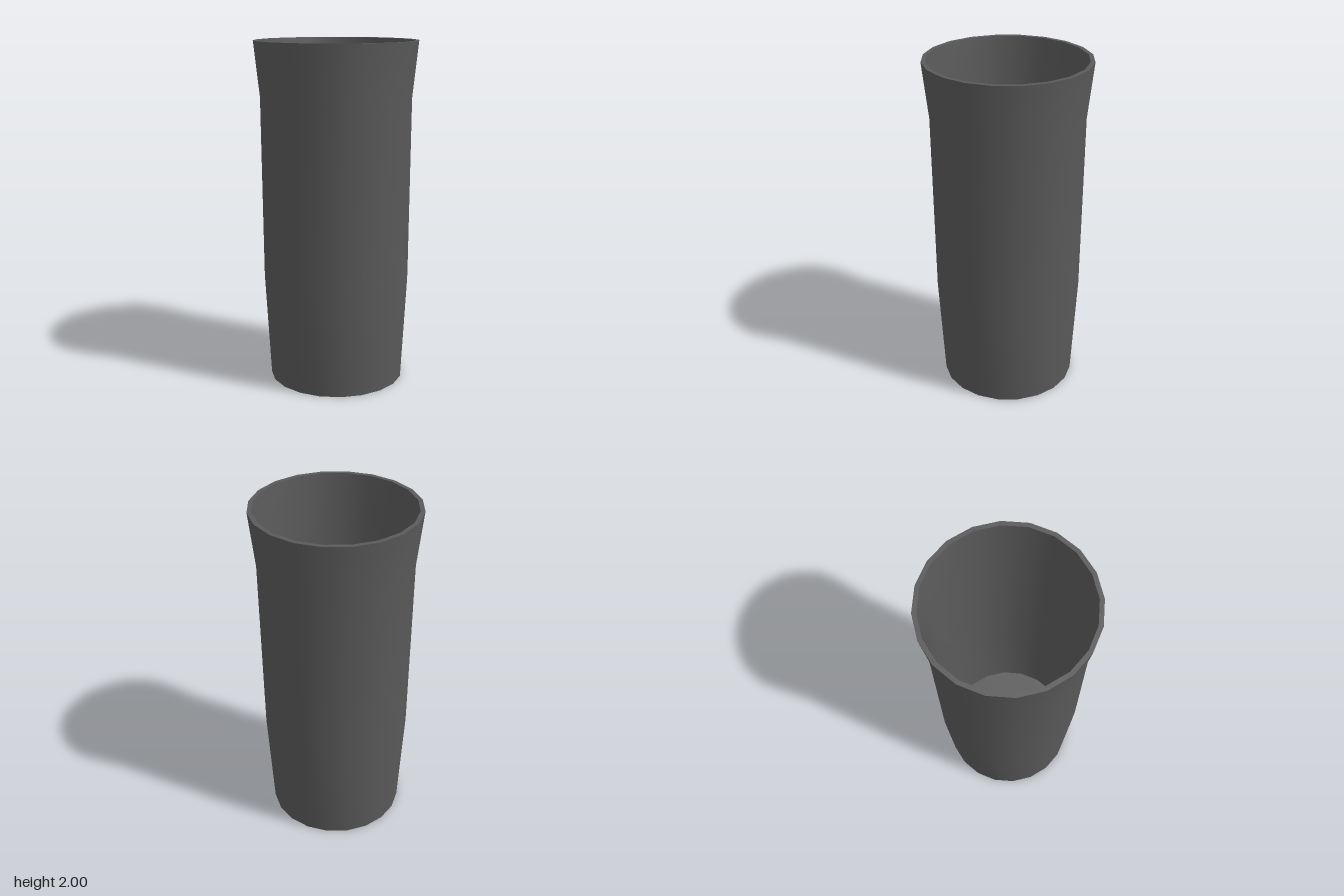
import * as THREE from 'three';
import { toCreasedNormals } from 'three/addons/utils/BufferGeometryUtils.js';

const SIDES = 20;

// Closed cross-section [radius, height]: base, outer wall, rim, inner wall, floor
const PROFILE = [
  [0, 0], [0.397, 0],
  [0.43, 0.62], [0.438, 1.68], [0.472, 2],
  [0.447, 2],
  [0.415, 1.68], [0.408, 0.62], [0.394, 0.01],
  [0, 0.01],
];

export function createModel() {
  const group = new THREE.Group();
  group.name = 'tumbler';

  // Smooth walls with sharp rim and base edges
  const points = PROFILE.map(([r, y]) => new THREE.Vector2(r, y));
  const geometry = toCreasedNormals(new THREE.LatheGeometry(points, SIDES), 0.6);
  const cup = new THREE.Mesh(geometry, new THREE.MeshStandardMaterial({ color: 0x5a5a5a }));
  cup.name = 'cup';
  group.add(cup);

  return group;
}
